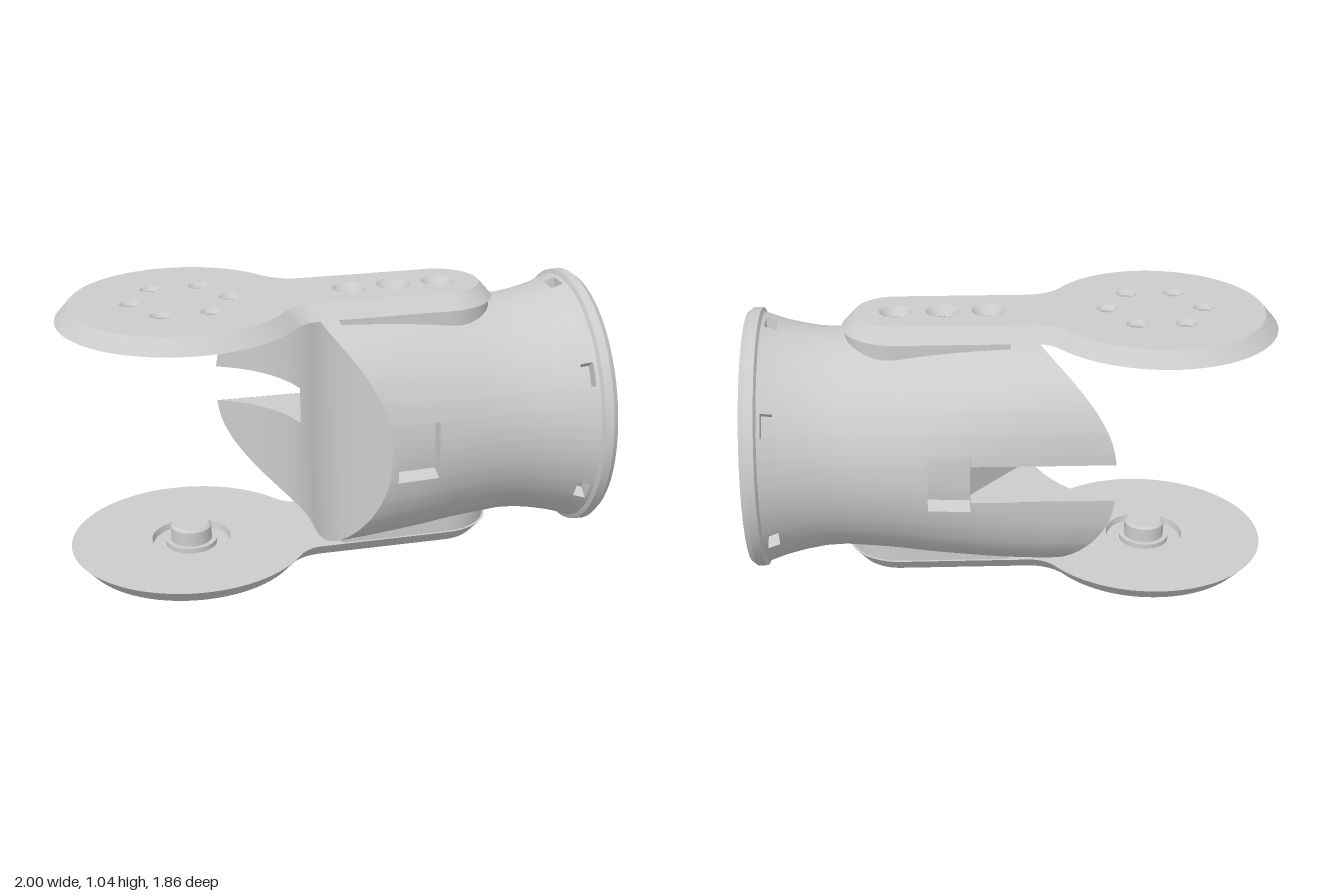
import * as THREE from 'three';
import { toCreasedNormals } from 'three/addons/utils/BufferGeometryUtils.js';

const mat = new THREE.MeshStandardMaterial({ color: 0xcccccc, side: THREE.DoubleSide });
const { PI, sin, cos, abs, sqrt, asin, hypot } = Math;
const lerp = THREE.MathUtils.lerp;
const CY = 0.5225; // height of the body axis

function add(parent, name, geo, x = 0, y = 0, z = 0) {
  const m = new THREE.Mesh(geo, mat);
  m.name = name;
  m.position.set(x, y, z);
  parent.add(m);
  return m;
}

// Surface through the points f(i, j); cells where skip(i, j) holds stay open
function grid(ni, nj, f, skip = () => false) {
  const pos = [], idx = [];
  for (let i = 0; i <= ni; i++) for (let j = 0; j <= nj; j++) pos.push(...f(i, j));
  for (let i = 0; i < ni; i++) for (let j = 0; j < nj; j++) {
    if (skip(i, j)) continue;
    const a = i * (nj + 1) + j, b = a + nj + 1;
    idx.push(a, b, a + 1, b, b + 1, a + 1);
  }
  const g = new THREE.BufferGeometry();
  g.setAttribute('position', new THREE.Float32BufferAttribute(pos, 3));
  g.setIndex(idx);
  g.computeVertexNormals();
  return g;
}

const lathe = (pts, seg = 64) =>
  toCreasedNormals(new THREE.LatheGeometry(pts.map(p => new THREE.Vector2(...p)), seg), 0.4);

// Countersunk hole with a floor
const well = (r, ri, d) => lathe([[r, 0], [ri, -d * 0.5], [ri, -d], [0, -d]], 24);

// Flat horizontal face with round holes given as [x, z, r]
function face(points, holes) {
  const s = new THREE.Shape(points);
  for (const [x, z, r] of holes) s.holes.push(new THREE.Path().absarc(x, -z, r, 0, 2 * PI, true));
  return new THREE.ShapeGeometry(s, 32).rotateX(-PI / 2);
}

const ring = (n, r, start, size) => Array.from({ length: n }, (_, k) => {
  const a = start + k * 2 * PI / n;
  return [r * cos(a), r * sin(a), size];
});

// ---- Body: squarish section at the fork blending to a round waist and flare
const keysU = [0.1, 0.7, 0.9, 1.1, 1.25, 1.39, 1.48, 1.53];
const keysR = [0.454, 0.4625, 0.45, 0.4625, 0.446, 0.46, 0.425, 0.445, 0.42, 0.435, 0.45, 0.455, 0.48, 0.48, 0.5, 0.5];
const radii = new THREE.CubicInterpolant(keysU, keysR, 2, new Float32Array(2));

function skin(u, t, depth = 0) {
  const [a, h] = radii.evaluate(u);
  const n = lerp(2.8, 2, THREE.MathUtils.smoothstep(u, 0.4, 1.05));
  const r = (abs(cos(t) / a) ** n + abs(sin(t) / h) ** n) ** (-1 / n) - depth;
  return [u, CY + r * sin(t), r * cos(t)];
}

// Scooped fork end: circular on one side, flaring out on the other
const scoop = w => w < 0 ? sqrt(Math.max(0.49 ** 2 - w * w, 0.03)) : 0.49 + 3.46 * w ** 3.48;
function cutAt(t) {
  let u = 0.5;
  for (let k = 0; k < 6; k++) u = scoop(skin(u, t)[2]);
  return u;
}

function buildBody(root) {
  const body = new THREE.Group();
  body.name = 'body';
  root.add(body);
  const slotY = 0.075, slotT = asin(slotY / 0.454), winT = 0.255, eps = 1e-4;
  const pockets = [0, PI].map(c => ({ name: 'sideWindow', c, half: winT, u0: 0.73, u1: 0.89, d: 0.065 }));
  for (let k = 0; k < 6; k++)
    pockets.push({ name: 'rimSlot', c: PI / 6 + k * PI / 3, half: 0.095, u0: 1.455, u1: 1.5, d: 0.05 });

  const angles = Array.from({ length: 97 }, (_, i) => i * PI / 48);
  for (const p of pockets) angles.push(p.c - p.half, p.c + p.half);
  angles.push(PI - slotT, PI + slotT, 2 * PI - winT);
  const ts = [...new Set(angles.filter(t => t >= 0).map(t => +t.toFixed(5)))].sort((a, b) => a - b);
  const stations = [0.73, 0.81, 0.89, 0.97, 1.05, 1.13, 1.21, 1.29, 1.36, 1.42, 1.455, 1.5, 1.53];
  const N = 5, cuts = ts.map(cutAt);
  const uAt = (i, j) => j < N ? lerp(cuts[i], 0.73, j / N) : stations[j - N];
  const off = (t, c) => abs(Math.atan2(sin(t - c), cos(t - c)));

  add(body, 'bodyShell', grid(ts.length - 1, N + stations.length - 1,
    (i, j) => skin(uAt(i, j), ts[i]),
    (i, j) => {
      const t = (ts[i] + ts[i + 1]) / 2;
      if (j < N) return off(t, PI) < slotT - eps;
      const u = (uAt(i, j) + uAt(i, j + 1)) / 2;
      return pockets.some(p => off(t, p.c) < p.half && u > p.u0 && u < p.u1);
    }));

  // Recess floors and walls
  for (const p of pockets) {
    const at = (i, u, d) => skin(u, p.c + p.half * (i / 4 - 1), d);
    add(body, p.name + 'Floor', grid(8, 2, (i, j) => at(i, lerp(p.u0, p.u1, j / 2), p.d)));
    for (const u of [p.u0, p.u1])
      add(body, p.name + 'End', grid(8, 1, (i, j) => at(i, u, j * p.d),
        i => p.c === PI && u === 0.73 && i > 1 && i < 6));
    for (const i of [0, 8])
      add(body, p.name + 'Side', grid(2, 1, (k, j) => at(i, lerp(p.u0, p.u1, k / 2), j * p.d)));
  }

  // Upright scooped face, open where the slot passes
  const half = ts.filter(t => t <= PI - slotT + eps);
  const W0 = -0.1;
  const strip = (list, lo) => grid(list.length - 1, 1, (i, j) => {
    const [u, y, w] = skin(cutAt(list[i]), list[i]);
    return [u, j ? lo(y) : y, w];
  });
  const isSlot = t => skin(cutAt(t), t)[2] < W0;
  const firstSlot = half.findIndex(isSlot);
  add(body, 'scoopFace', strip(half.slice(0, firstSlot + 1), y => 2 * CY - y));
  const upper = strip(half.slice(firstSlot), () => CY + slotY);
  add(body, 'scoopUpper', upper);
  const lower = add(body, 'scoopLower', upper, 0, 2 * CY, 0);
  lower.scale.y = -1;

  // Slot through the long side of the fork
  const slotEnd = w => w < -0.385 ? 0.73 : lerp(0.73, 0.485, (w + 0.385) / 0.285);
  for (const s of [-1, 1])
    add(body, 'slotWall', grid(16, 1, (i, j) => {
      const w = lerp(-0.447, W0, i / 16);
      return [j ? slotEnd(w) : scoop(w), CY + s * slotY, w];
    }));
  add(body, 'slotEnd', grid(8, 1, (i, j) => {
    const w = lerp(-0.385, W0, i / 8);
    return [slotEnd(w), CY + (j ? slotY : -slotY), w];
  }));
}

// ---- End flange, modelled with its axis up and then laid along the body
function buildFlange(root) {
  const flange = new THREE.Group();
  flange.name = 'flange';
  flange.position.y = CY;
  flange.rotation.z = -PI / 2;
  root.add(flange);
  const Y = 1.578;
  add(flange, 'rim', lathe([[0.49, 1.512], [0.51, 1.522], [0.512, 1.556], [0.495, Y]], 96));
  const holes = [...ring(6, 0.455, 0, 0.036), ...ring(6, 0.35, PI / 6, 0.036)];
  const circle = new THREE.Path().absarc(0, 0, 0.495, 0, 2 * PI).getPoints(96);
  add(flange, 'flangeFace', face(circle, [...holes, [0, 0, 0.302]]), 0, Y, 0);
  for (const [x, z, r] of holes) add(flange, 'boltHole', well(r, 0.02, 0.05), x, Y, z);
  add(flange, 'hub', lathe([[0.302, Y], [0.29, 1.55], [0.275, 1.55], [0.27, 1.525], [0.25, 1.525],
    [0.25, 1.598], [0.243, 1.605], [0, 1.605]], 64));
}

// ---- Arm plates: a disc with a filleted, round-ended neck
function plateOutline(o) {
  const R = 0.47 - o, h = 0.21 - o, f = 0.12 + o, cz = 0.33, cx = sqrt(0.59 ** 2 - cz ** 2);
  const a = Math.atan2(cz, cx), pts = [];
  const arc = (x, y, r, a0, a1, n) => {
    for (let i = 0; i <= n; i++) {
      const t = lerp(a0, a1, i / n);
      pts.push(new THREE.Vector2(x + r * cos(t), y + r * sin(t)));
    }
  };
  arc(0, 0, R, a, 2 * PI - a, 64);
  arc(cx, -cz, f, PI - a, PI / 2, 10);
  arc(1.0, 0, h, -PI / 2, PI / 2, 24);
  arc(cx, cz, f, -PI / 2, -PI + a, 10);
  return pts;
}

function buildPlate(root, name, isTop) {
  const plate = new THREE.Group();
  plate.name = name;
  root.add(plate);
  const T = 0.057, outer = plateOutline(0), inner = plateOutline(0.05), n = outer.length;
  const neck = [0.646, 0.822, 1.0].map(x => [x, 0, 0.065]);
  const screws = isTop ? ring(6, 0.187, 0, 0.042) : [];
  add(plate, 'outerFace', face(inner, [...neck, ...screws]), 0, T, 0);
  add(plate, 'innerFace', face(outer, isTop ? [] : [[0, 0, 0.155]]));
  add(plate, 'bevel', grid(n, 1, (i, j) => {
    const p = (j ? inner : outer)[i % n];
    return [p.x, j * T, -p.y];
  }));
  for (const [x, z, r] of neck) add(plate, 'neckHole', well(r, 0.034, 0.07), x, T, z);
  for (const [x, z, r] of screws) {
    add(plate, 'screwWell', well(r, 0.027, 0.035), x, T, z);
    add(plate, 'screwBar', new THREE.BoxGeometry(0.045, 0.01, 0.009), x, T - 0.03, z).rotation.y = 1;
  }
  // Mount joining the neck to the body
  add(plate, 'neckMount', new THREE.BoxGeometry(0.43, 0.08, 0.4), 0.785, -0.04, 0);
  add(plate, 'neckMountEnd', new THREE.CylinderGeometry(0.2, 0.2, 0.08, 32), 1.0, -0.04, 0);
  if (isTop) {
    add(plate, 'pivotHub', new THREE.CylinderGeometry(0.277, 0.277, 0.07, 64), 0, -0.035, 0);
    plate.position.y = 2 * CY - T;
  } else {
    add(plate, 'pivotPin', lathe([[0.155, 0], [0.15, 0.025], [0.1, 0.025], [0.1, 0.005], [0.08, 0.005],
      [0.08, -0.052], [0.07, -0.062], [0, -0.062]], 48));
    plate.scale.y = -1;
    plate.position.y = T;
  }
}

export function createModel() {
  const model = new THREE.Group();
  model.name = 'jointLink';
  const link = new THREE.Group();
  link.name = 'link';
  link.position.set(-0.53, 0, 0.46);
  link.rotation.y = 40 * PI / 180;
  model.add(link);
  buildBody(link);
  buildFlange(link);
  buildPlate(link, 'topArm', true);
  buildPlate(link, 'bottomArm', false);
  return model;
}
